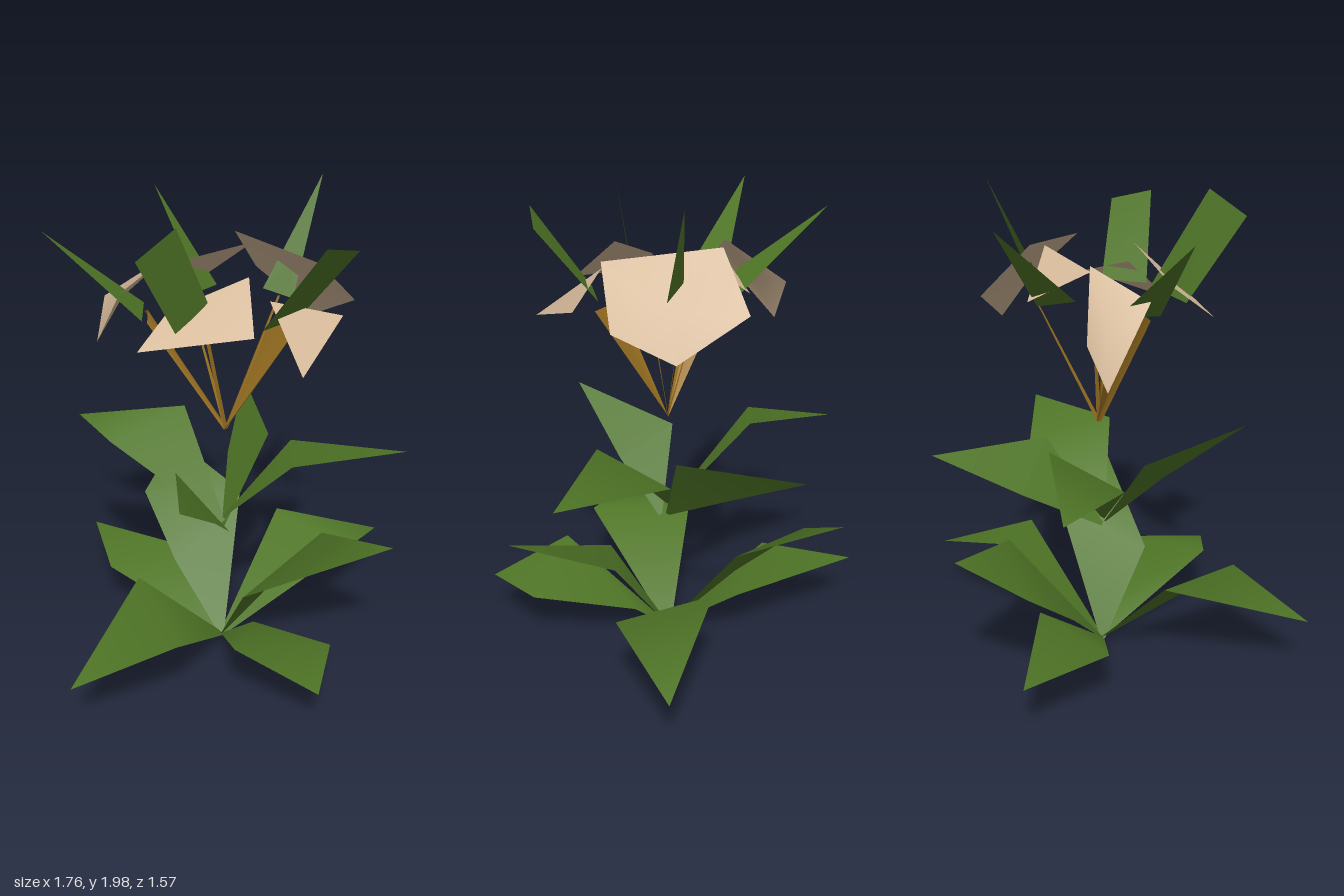
import * as THREE from 'three';

const mat = (name, color) => {
  const m = new THREE.MeshStandardMaterial({ color, side: THREE.DoubleSide });
  m.name = name;
  return m;
};

// Open surface from corner points and triangle indices
function surface(name, points, index, material) {
  const g = new THREE.BufferGeometry();
  g.setAttribute('position', new THREE.Float32BufferAttribute(points.flat(), 3));
  g.setIndex(index);
  g.computeVertexNormals();
  const mesh = new THREE.Mesh(g, material);
  mesh.name = name;
  return mesh;
}

// Folded leaf: narrow foot, two shoulder points, then a pointed or square tip
function leaf(name, foot, a, b, tips, material) {
  const shift = (s) => foot.map((v, i) => v + (b[i] - a[i]) * s);
  const points = [shift(-0.03), shift(0.03), a, b, ...tips];
  const index = [0, 1, 3, 0, 3, 2, 2, 3, 4];
  if (tips.length > 1) index.push(3, 5, 4);
  return surface(name, points, index, material);
}

// Flat or slightly cupped polygon spanned from its middle
function fan(name, rim, material) {
  const n = rim.length;
  const middle = [0, 1, 2].map((i) => rim.reduce((s, p) => s + p[i], 0) / n);
  const index = [];
  for (let i = 0; i < n; i++) index.push(n, i, (i + 1) % n);
  return surface(name, [...rim, middle], index, material);
}

export function createModel() {
  const green = mat('leafGreen', 0x4f7526);
  const tan = mat('petalTan', 0xd4b898);
  const brown = mat('stalkBrown', 0xa07522);
  const model = new THREE.Group();
  model.name = 'plant';

  // Lower ring of leaves: shoulder, shoulder, tip points
  const low = [
    [[0.46, 0.435, -0.05], [0.49, 0.38, 0.34], [[0.88, 0.26, 0.2]]],
    [[-0.5, 0.355, 0.31], [-0.33, 0.4, -0.107], [[-0.88, 0.255, 0.12]]],
    [[0.05, 0.14, 0.2], [-0.32, 0.325, 0.45], [[0.05, 0.25, 0.63], [-0.2, 0.23, 0.785]]],
    [[0.34, 0.52, 0.32], [-0.1, 0.38, 0.28], [[0.29, 0.65, 0.73]]],
    [[0.01, 0.26, -0.25], [0.34, 0.53, -0.17], [[0.08, 0.48, -0.53], [0.35, 0.625, -0.61]]],
    [[-0.22, 0.25, -0.43], [0.18, 0.245, -0.22], [[-0.02, 0.25, -0.78]]],
  ];
  const lower = new THREE.Group();
  lower.name = 'lowerLeaves';
  low.forEach(([a, b, t]) => lower.add(leaf('lowerLeaf', [0.01, 0.02, 0.05], a, b, t, green)));

  // Upper ring of leaves
  const mid = [
    [[-0.2, 0.89, -0.01], [-0.2, 0.75, 0.22], [[-0.515, 0.985, 0.355]]],
    [[0.1, 0.94, 0.35], [0.37, 0.875, 0.1], [[0.565, 0.92, 0.565]]],
    [[0.27, 0.925, 0.06], [0.27, 0.75, -0.18], [[0.57, 0.95, -0.375]]],
    [[0.1, 1.0, -0.275], [-0.25, 0.92, -0.354], [[-0.15, 0.9, -0.69]]],
  ];
  const upper = new THREE.Group();
  upper.name = 'upperLeaves';
  mid.forEach(([a, b, t], i) =>
    upper.add(leaf('upperLeaf', [0.01, [0.57, 0.62, 0.57, 0.6][i], i === 0 ? 0.08 : 0.05], a, b, t, green)));

  // Flowers: stalk top edge, tan petal outline, green bract outline
  const flowers = [
    {
      name: 'leftFlower',
      stalk: [[0.31, 1.53, 0.055], [0.32, 1.53, 0.06]],
      petal: [[0.24, 1.745, 0.33], [0.24, 1.775, -0.12], [0.43, 1.57, -0.18], [0.485, 1.42, 0.1], [0.46, 1.545, 0.33]],
      bract: [[0.53, 1.99, 0.08], [0.25, 1.57, 0.03], [0.33, 1.53, 0.12]],
    },
    {
      name: 'frontFlower',
      stalk: [[0.09, 1.51, 0.34], [0.08, 1.53, 0.28], [0.06, 1.53, 0.24]],
      petal: [[-0.09, 1.45, 0.55], [0.255, 1.565, 0.44], [0, 1.65, 0.3]],
      bract: [[0, 1.905, 0.56], [0.18, 1.86, 0.56], [0.13, 1.56, 0.33], [-0.07, 1.56, 0.33]],
    },
    {
      name: 'backRightFlower',
      stalk: [[-0.25, 1.52, -0.1], [-0.22, 1.56, -0.13], [-0.15, 1.51, -0.23]],
      petal: [[-0.22, 1.335, -0.45], [-0.15, 1.51, -0.475], [-0.04, 1.73, -0.19], [-0.29, 1.62, -0.21]],
      bract: [[-0.51, 1.875, -0.38], [-0.16, 1.55, -0.22], [-0.285, 1.54, -0.09]],
    },
    {
      name: 'rightFlower',
      stalk: [[-0.145, 1.52, 0.1], [-0.135, 1.52, 0.11]],
      petal: [[-0.45, 1.51, 0.07], [-0.28, 1.62, 0.055], [-0.05, 1.74, 0.24], [-0.17, 1.575, 0.385]],
      bract: [[-0.53, 1.89, 0.17], [-0.37, 1.98, 0.2], [-0.15, 1.59, 0.16], [-0.31, 1.54, 0.14]],
    },
    {
      name: 'backFlower',
      stalk: [[-0.015, 1.46, -0.08], [-0.005, 1.46, -0.08]],
      petal: [[-0.03, 1.7, -0.16], [0.23, 1.755, -0.01], [0.2, 1.58, -0.235]],
      bract: [[0.18, 1.9, -0.53], [0.05, 1.57, -0.12], [0.19, 1.55, -0.17]],
    },
  ];
  for (const f of flowers) {
    const flower = new THREE.Group();
    flower.name = f.name;
    // Stalk is a tapering ribbon, creased along its middle when wide
    const n = f.stalk.length;
    const feet = f.stalk.map((p, i) => [0.015 + 0.02 * (i / (n - 1)), 1.03, 0.05]);
    const index = [];
    for (let i = 0; i < n - 1; i++) index.push(i, i + 1, n + i, i + 1, n + i + 1, n + i);
    flower.add(
      surface('stalk', [...feet, ...f.stalk], index, brown),
      fan('petal', f.petal, tan),
      fan('bract', f.bract, green),
    );
    model.add(flower);
  }

  model.add(lower, upper);
  return model;
}
